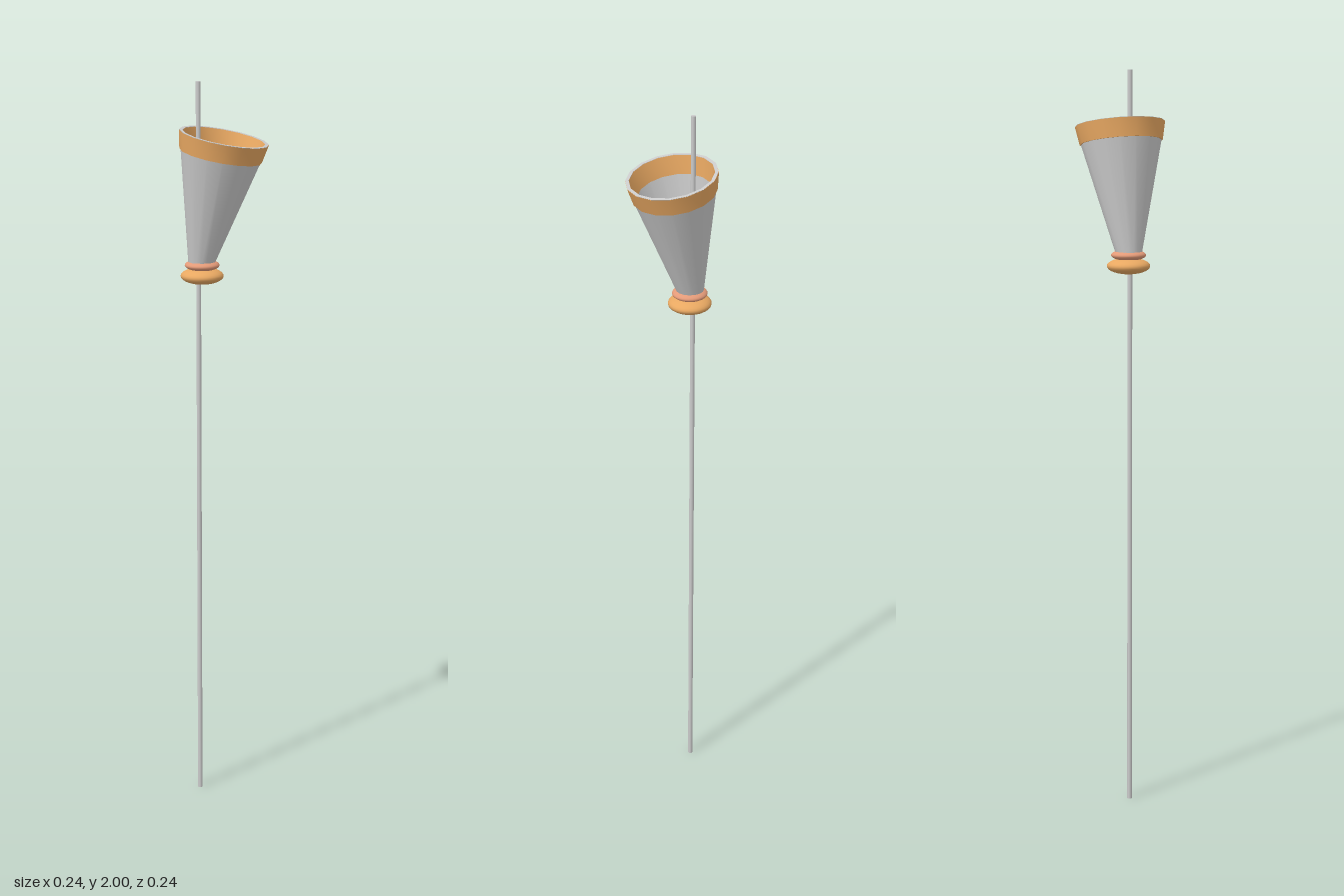
import * as THREE from 'three';
import { toCreasedNormals } from 'three/addons/utils/BufferGeometryUtils.js';

const material = (color) => new THREE.MeshStandardMaterial({ color });
const grey = material(0xcccccc);
const orange = material(0xe8a862);
const pink = material(0xe39a78);

function add(parent, name, geometry, mat, x = 0, y = 0) {
  const mesh = new THREE.Mesh(geometry, mat);
  mesh.name = name;
  mesh.position.set(x, y, 0);
  parent.add(mesh);
  return mesh;
}

// Sixteen-sided turned shape, smooth around and sharp at its rims
function turned(points) {
  const profile = points.map(([r, y]) => new THREE.Vector2(r, y));
  return toCreasedNormals(new THREE.LatheGeometry(profile, 16), 0.6);
}

export function createModel() {
  const model = new THREE.Group();
  model.name = 'torch';

  // Long thin rod running through everything
  add(model, 'rod', new THREE.CylinderGeometry(0.0065, 0.0065, 2, 12), grey, -0.072, 1);

  // Two flattened beads under the cup
  const lower = add(model, 'lowerBead', new THREE.SphereGeometry(1, 32, 16), orange, -0.062, 1.484);
  lower.scale.set(0.058, 0.022, 0.058);
  const upper = add(model, 'upperBead', new THREE.SphereGeometry(1, 32, 16), pink, -0.062, 1.513);
  upper.scale.set(0.047, 0.015, 0.047);

  // Tilted hollow cup
  const cup = new THREE.Group();
  cup.name = 'cup';
  cup.position.set(-0.066, 1.514, 0);
  cup.rotation.z = -THREE.MathUtils.degToRad(11);
  model.add(cup);

  const height = 0.35;
  add(cup, 'cupWall', turned([
    [0.027, 0], [0.034, 0], [0.12, height], [0.111, height], [0.027, 0],
  ]), grey);

  // Coloured band around the rim, slightly proud inside and out
  const low = height - 0.05;
  add(cup, 'outerBand', turned([
    [0.107, low], [0.111, low], [0.1205, height - 0.001], [0.119, height - 0.001],
  ]), orange);
  add(cup, 'innerBand', turned([
    [0.1115, height - 0.001], [0.1105, height - 0.001], [0.097, low], [0.1, low],
  ]), orange);

  return model;
}
